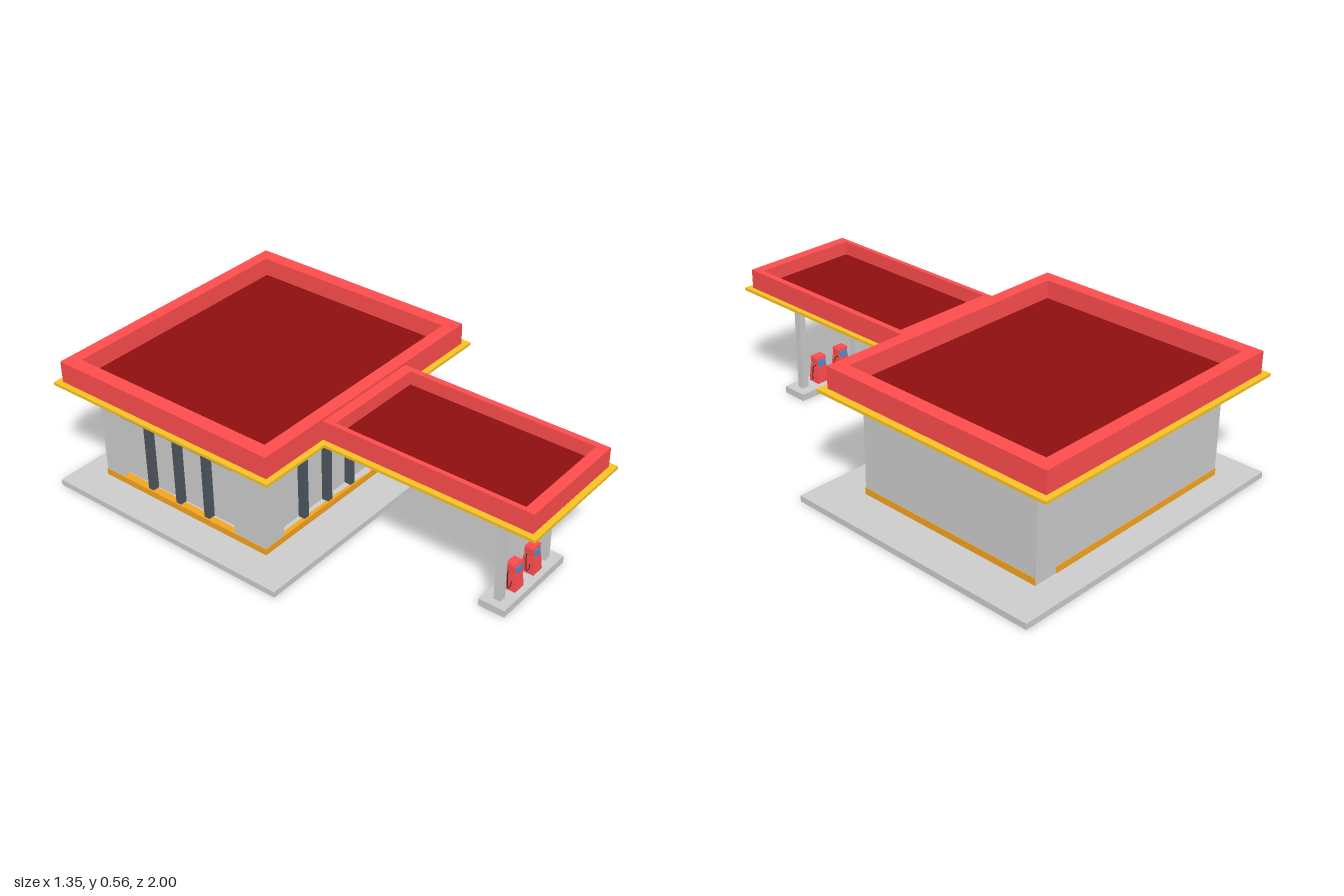
import * as THREE from 'three';

const mat = (color, extra = {}) => new THREE.MeshStandardMaterial({ color, ...extra });
const GREY = mat(0xcccccc), RED = mat(0xfc4c4c), DARK_RED = mat(0x8f0e0e);
const YELLOW = mat(0xf8c224), ORANGE = mat(0xf4a420), DARK = mat(0x4e555e);
const BLACK = mat(0x26282c), BLUE = mat(0x4a90d8);

function add(parent, name, geometry, material) {
  const mesh = new THREE.Mesh(geometry, material);
  mesh.name = name;
  parent.add(mesh);
  return mesh;
}

// Box given by its limits along each axis
function box(parent, name, material, [x0, x1], [y0, y1], [z0, z1]) {
  const g = new THREE.BoxGeometry(x1 - x0, y1 - y0, z1 - z0);
  g.translate((x0 + x1) / 2, (y0 + y1) / 2, (z0 + z1) / 2);
  return add(parent, name, g, material);
}

// Extruded rectangle with a rectangular hole
function frame([x0, x1], [y0, y1], [hx0, hx1], [hy0, hy1], depth) {
  const rect = (P, a, b, c, d) => new P().moveTo(a, c).lineTo(b, c).lineTo(b, d).lineTo(a, d).closePath();
  const shape = rect(THREE.Shape, x0, x1, y0, y1);
  shape.holes.push(rect(THREE.Path, hx0, hx1, hy0, hy1));
  return new THREE.ExtrudeGeometry(shape, { depth, bevelEnabled: false });
}

// Box narrowing towards its top, standing on y = 0
function taper(w, d, h, topX, topZ) {
  const g = new THREE.BoxGeometry(w, h, d).translate(0, h / 2, 0).toNonIndexed();
  const p = g.attributes.position;
  for (let i = 0; i < p.count; i++) {
    if (p.getY(i) > h / 2) p.setXYZ(i, p.getX(i) * topX, h, p.getZ(i) * topZ);
  }
  g.computeVertexNormals();
  return g;
}

// Parapet ring with a sunken roof deck
function roof(parent, name, [x0, x1], [z0, z1], [ix0, ix1], [iz0, iz1], top, deck) {
  const group = new THREE.Group();
  group.name = name;
  const ring = frame([x0, x1], [-z1, -z0], [ix0, ix1], [-iz1, -iz0], top - 0.463);
  ring.rotateX(-Math.PI / 2).translate(0, 0.463, 0);
  add(group, 'parapet', ring, RED);
  box(group, 'roofDeck', DARK_RED, [ix0, ix1], [0.463, deck], [iz0, iz1]);
  parent.add(group);
}

function fuelPump(x) {
  const pump = new THREE.Group();
  pump.name = 'fuelPump';
  add(pump, 'pumpBody', taper(0.058, 0.058, 0.075, 0.86, 0.75), RED);
  add(pump, 'pumpHead', taper(0.046, 0.042, 0.042, 1.05, 0.85).translate(0, 0.072, 0), RED);
  add(pump, 'pumpCap', taper(0.052, 0.04, 0.008, 0.9, 0.9).translate(0, 0.11, 0), RED);
  for (const s of [-1, 1]) {
    box(pump, 'screen', BLUE, [-0.019, 0.019], [0.076, 0.104], s < 0 ? [-0.0225, -0.018] : [0.018, 0.0225]);
    // Hose looping down each flank
    const path = new THREE.CatmullRomCurve3([
      [0.022, 0.08], [0.031, 0.078], [0.036, 0.045], [0.034, 0.015], [0.029, 0.018], [0.027, 0.045],
    ].map(([a, b], i) => new THREE.Vector3(s * a, b, 0.004 * i - 0.01)));
    add(pump, 'hose', new THREE.TubeGeometry(path, 16, 0.0018, 5), BLACK);
  }
  pump.position.set(x, 0.03, 0.802);
  return pump;
}

export function createModel() {
  const model = new THREE.Group();
  model.name = 'fuelStation';
  box(model, 'groundSlab', GREY, [-0.675, 0.675], [0, 0.025], [-0.99, 0.14]);

  // Shop: the core faces act as the glazing behind the pierced outer walls
  const shop = new THREE.Group();
  shop.name = 'shop';
  model.add(shop);
  box(shop, 'shopCore', GREY, [-0.495, 0.495], [0.025, 0.454], [-0.87, -0.06]);
  const front = frame([-0.53, 0.495], [0.025, 0.454], [-0.425, 0.14], [0.053, 0.425], 0.035);
  add(shop, 'frontWall', front.translate(0, 0, -0.06), GREY);
  const side = frame([-0.87, -0.06], [0.025, 0.454], [-0.78, -0.18], [0.053, 0.425], 0.035);
  add(shop, 'sideWall', side.rotateY(-Math.PI / 2).translate(-0.495, 0, 0), GREY);

  // Orange bands, stopping short of one back corner; thin strips leave the windows clear
  for (const y of [[0.025, 0.053], [0.425, 0.4545]]) {
    box(shop, 'frontBand', ORANGE, [-0.532, 0.497], y, [-0.06, -0.023]);
    box(shop, 'sideBand', ORANGE, [-0.532, -0.495], y, [-0.869, -0.03]);
    box(shop, 'sideBand', ORANGE, [0.49, 0.497], y, [-0.869, -0.03]);
    box(shop, 'backBand', ORANGE, [-0.532, 0.39], y, [-0.872, -0.86]);
  }

  // Window posts and transoms
  for (const x of [-0.285, -0.143, -0.002]) {
    box(shop, 'windowPost', DARK, [x - 0.013, x + 0.013], [0.053, 0.425], [-0.062, -0.03]);
  }
  for (const z of [-0.63, -0.48, -0.33]) {
    box(shop, 'windowPost', DARK, [-0.525, -0.493], [0.053, 0.425], [z - 0.013, z + 0.013]);
  }
  box(shop, 'transom', DARK, [-0.425, 0.14], [0.326, 0.338], [-0.062, -0.042]);
  box(shop, 'transom', DARK, [-0.513, -0.493], [0.326, 0.338], [-0.78, -0.18]);

  // Door with handle
  const doorFrame = frame([0.265, 0.39], [0.053, 0.325], [0.275, 0.38], [0.062, 0.316], 0.004);
  add(shop, 'doorFrame', doorFrame.translate(0, 0, -0.026), GREY);
  box(shop, 'door', GREY, [0.275, 0.38], [0.062, 0.316], [-0.03, -0.0235]);
  box(shop, 'doorHandle', BLACK, [0.379, 0.387], [0.16, 0.2], [-0.025, -0.014]);

  // Wall vents
  for (const x of [-0.468, 0.432]) {
    const vent = frame([x - 0.023, x + 0.023], [0.379, 0.409], [x - 0.018, x + 0.018], [0.385, 0.402], 0.006);
    add(shop, 'ventFrame', vent.translate(0, 0, -0.026), DARK);
    box(shop, 'ventPanel', GREY, [x - 0.018, x + 0.018], [0.385, 0.402], [-0.026, -0.022]);
  }

  // Small lamp at the front corner
  const lamp = add(shop, 'cornerLamp', new THREE.CylinderGeometry(0.005, 0.013, 0.024, 8), DARK);
  lamp.position.set(-0.543, 0.396, -0.016);
  lamp.rotation.set(-0.7, 0, -1);
  box(shop, 'lampBracket', DARK, [-0.542, -0.528], [0.393, 0.399], [-0.03, -0.018]);

  // Roofs on their yellow eaves
  box(model, 'shopEave', YELLOW, [-0.64, 0.61], [0.453, 0.465], [-1, 0.095]);
  box(model, 'canopyEave', YELLOW, [-0.325, 0.22], [0.453, 0.465], [0.095, 1]);
  roof(model, 'shopRoof', [-0.615, 0.58], [-0.975, 0.07], [-0.555, 0.52], [-0.92, 0.015], 0.556, 0.478);
  roof(model, 'canopyRoof', [-0.3, 0.198], [0.07, 0.975], [-0.28, 0.172], [0.115, 0.93], 0.546, 0.488);

  // Pump island with columns
  box(model, 'pumpIsland', GREY, [-0.25, 0.15], [0, 0.03], [0.745, 0.857]);
  for (const x of [-0.201, 0.098]) {
    box(model, 'canopyColumn', GREY, [x - 0.015, x + 0.015], [0.03, 0.454], [0.787, 0.817]);
  }
  model.add(fuelPump(-0.113), fuelPump(0.01));
  return model;
}
